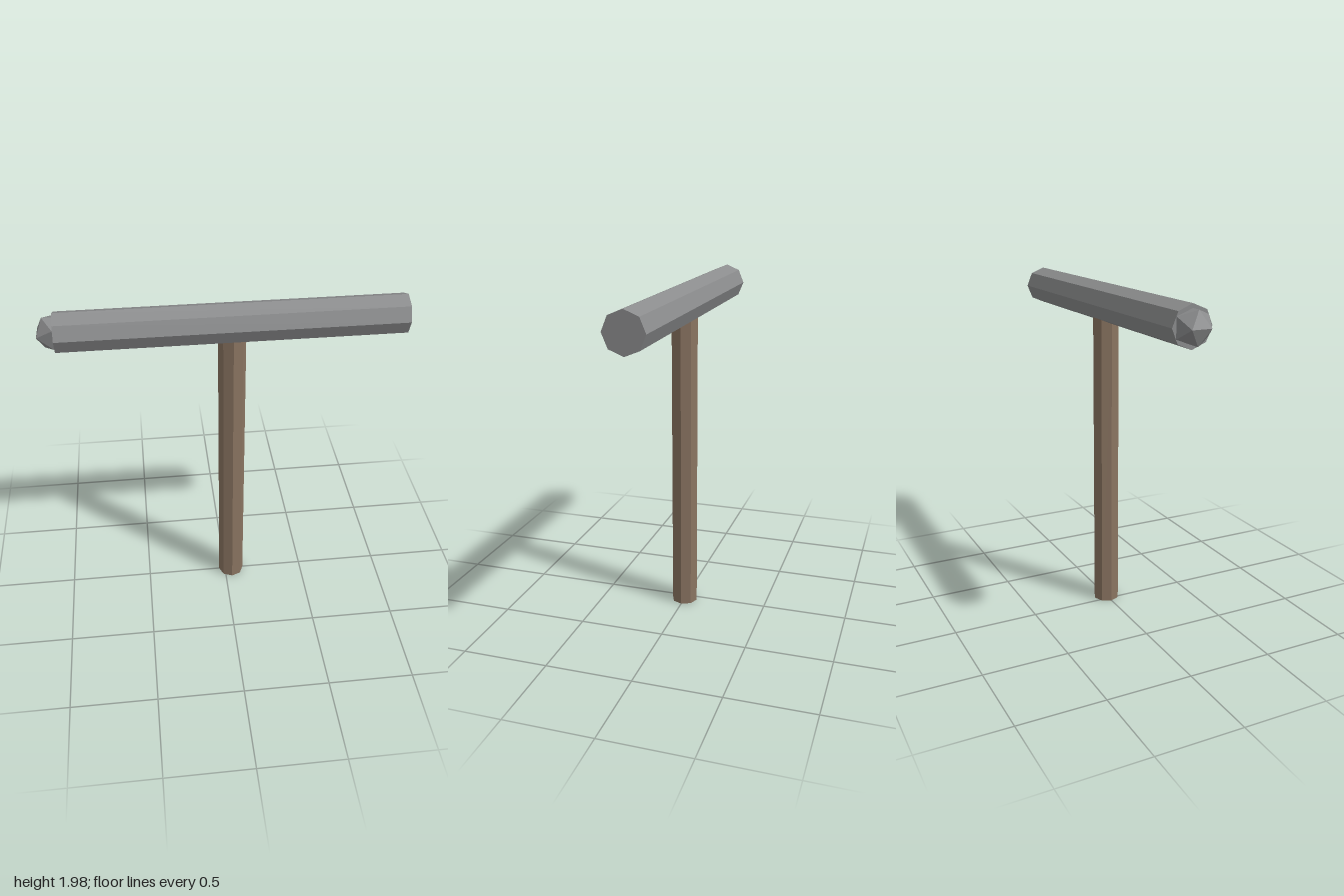
import * as THREE from 'three';

export function createModel() {
  const model = new THREE.Group();
  const stone = new THREE.MeshStandardMaterial({ color: 0x8b8c8d, flatShading: true });
  stone.name = 'grey stone';
  const wood = new THREE.MeshStandardMaterial({ color: 0x8a7461, flatShading: true });
  wood.name = 'brown wood';

  const add = (name, geometry, material, x, y) => {
    const mesh = new THREE.Mesh(geometry, material);
    mesh.name = name;
    mesh.position.set(x, y, 0);
    model.add(mesh);
    return mesh;
  };

  const headY = 1.863, headBack = -0.91, headFront = 1;

  // Eight-sided handle, slightly off centre, sunk into the head
  const handleTop = 1.82;
  add('handle', new THREE.CylinderGeometry(0.078, 0.078, handleTop, 8), wood, 0.04, handleTop / 2);

  // Eight-sided bar lying along x
  const head = add('head',
    new THREE.CylinderGeometry(0.113, 0.113, headFront - headBack, 8),
    stone, (headFront + headBack) / 2, headY);
  head.rotation.z = Math.PI / 2;

  // Faceted knob half buried in one end of the bar
  add('endKnob', new THREE.IcosahedronGeometry(0.105, 0), stone, -0.911, headY);

  return model;
}
